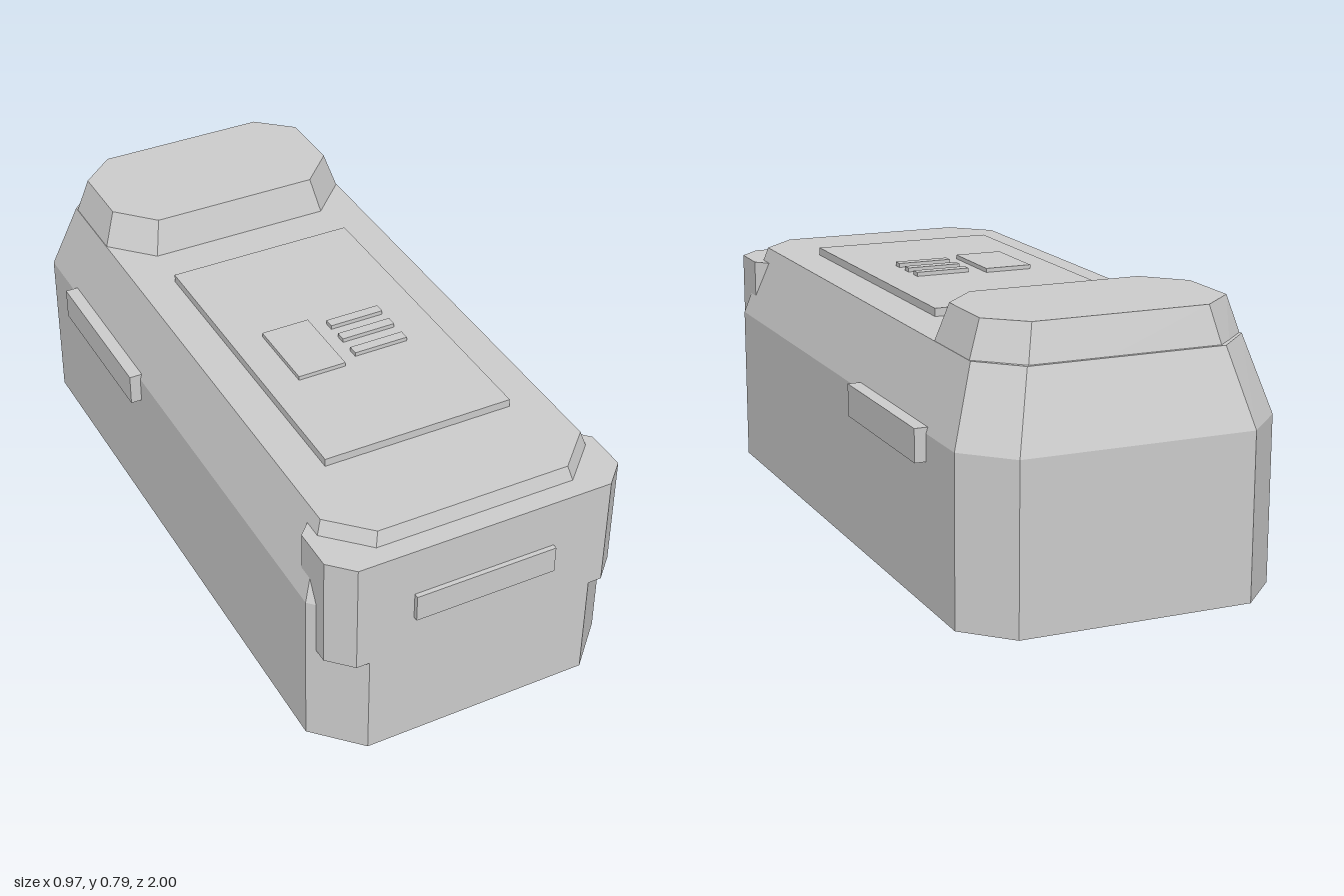
import * as THREE from 'three';

// Eight-sided outline: half width x, half width of the ends e,
// front end z, front shoulder z, back shoulder z, back end z.
function outline({ x, e, ends, shoulders }) {
  const [f, b] = ends, [sf, sb] = shoulders;
  const half = [[e, f], [x, sf], [x, sb], [e, b]];
  return [...half, ...half.map(([px, pz]) => [-px, pz]).reverse()];
}

// Closed, flat-faced solid through a stack of outlines (bottom to top).
function loft(levels) {
  const rings = levels.map((l) => outline(l).map(([x, z]) => [x, l.y, z]));
  const pos = [];
  const tri = (...p) => p.forEach((v) => pos.push(...v));
  const n = 8;
  for (let r = 0; r < rings.length - 1; r++) {
    const a = rings[r], b = rings[r + 1];
    for (let i = 0; i < n; i++) {
      const j = (i + 1) % n;
      tri(a[i], a[j], b[j]);
      tri(a[i], b[j], b[i]);
    }
  }
  const bottom = rings[0], top = rings[rings.length - 1];
  for (let i = 1; i < n - 1; i++) {
    tri(top[0], top[i], top[i + 1]);
    tri(bottom[0], bottom[i + 1], bottom[i]);
  }
  const g = new THREE.BufferGeometry();
  g.setAttribute('position', new THREE.Float32BufferAttribute(pos, 3));
  g.computeVertexNormals();
  return g;
}

// Box from its minimum and maximum corners.
function block([x0, y0, z0], [x1, y1, z1]) {
  return new THREE.BoxGeometry(x1 - x0, y1 - y0, z1 - z0)
    .translate((x0 + x1) / 2, (y0 + y1) / 2, (z0 + z1) / 2);
}

export function createModel() {
  const grey = new THREE.MeshStandardMaterial({ color: 0xcccccc });
  grey.name = 'light grey';
  const model = new THREE.Group();
  model.name = 'case';
  const add = (name, geometry) => {
    const mesh = new THREE.Mesh(geometry, grey);
    mesh.name = name;
    model.add(mesh);
  };

  // Straight lower walls with a tapered upper half
  add('body', loft([
    { y: 0, x: 0.455, e: 0.333, ends: [0.985, -1], shoulders: [0.862, -0.877] },
    { y: 0.47, x: 0.455, e: 0.333, ends: [0.985, -1], shoulders: [0.862, -0.877] },
    { y: 0.683, x: 0.387, e: 0.28, ends: [0.915, -0.925], shoulders: [0.81, -0.82] },
  ]));

  // Raised hump at the back, flaring into the tapered walls
  add('rearHump', loft([
    { y: 0.6, x: 0.413, e: 0.29, ends: [-0.44, -0.94], shoulders: [-0.565, -0.822] },
    { y: 0.785, x: 0.352, e: 0.25, ends: [-0.495, -0.885], shoulders: [-0.6, -0.795] },
  ]));

  // Collar wrapped around the upper front
  const collar = { x: 0.435, e: 0.372, ends: [0.986, 0.735], shoulders: [0.923, 0.8] };
  add('frontCollar', loft([{ y: 0.31, ...collar }, { y: 0.642, ...collar }]));

  // Grips
  add('frontGrip', block([-0.207, 0.417, 0.95], [0.207, 0.497, 1]));
  for (const [side, s] of [['left', 1], ['right', -1]]) {
    const x = [0.43 * s, 0.487 * s].sort((a, b) => a - b);
    add(side + 'Grip', block([x[0], 0.395, -0.69], [x[1], 0.487, -0.195]));
  }

  // Lid panel with its button and three bars
  add('topPanel', block([-0.28, 0.66, -0.32], [0.277, 0.706, 0.63]));
  add('panelButton', block([-0.187, 0.7, 0.07], [-0.045, 0.718, 0.297]));
  for (const z of [0.112, 0.182, 0.255]) {
    add('panelBar', block([0, 0.7, z - 0.015], [0.162, 0.718, z + 0.015]));
  }
  return model;
}
